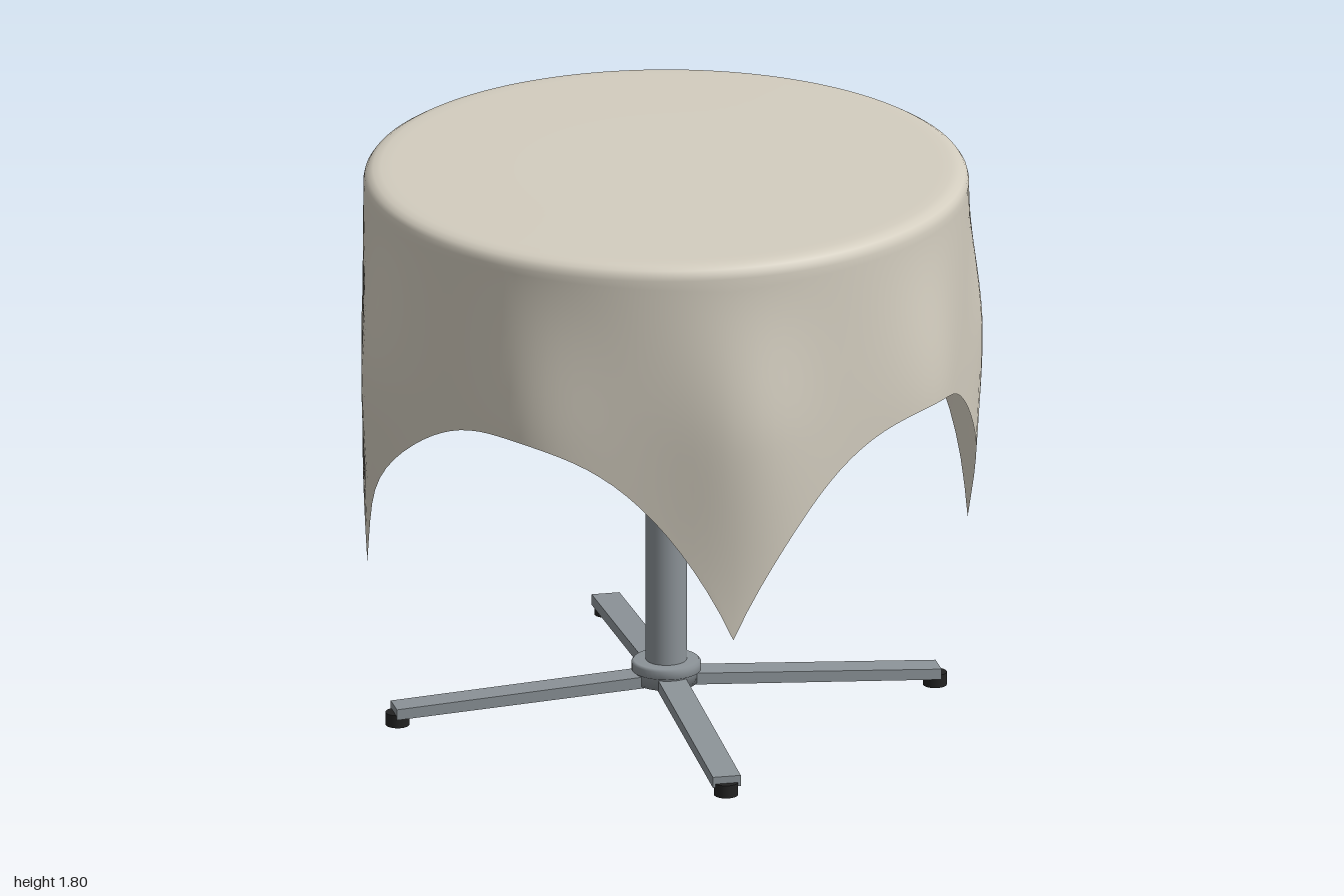
import * as THREE from 'three';

const clothMat = new THREE.MeshStandardMaterial({ color: 0xd3cdbf, side: THREE.DoubleSide });
const woodMat = new THREE.MeshStandardMaterial({ color: 0xcdc7b4 });
const metalMat = new THREE.MeshStandardMaterial({ color: 0x8c9398 });
const rubberMat = new THREE.MeshStandardMaterial({ color: 0x222222 });

const smooth = (v) => THREE.MathUtils.smoothstep(v, 0, 1);

// outward folds of the cloth: [angle in degrees, depth]
const FOLDS = [[0, 0.047], [42, 0.06], [84, 0.045], [125, 0.06], [169, 0.05],
  [209, 0.06], [249, 0.035], [276, 0.035], [317, 0.055]];

function foldDepth(angle) {
  const deg = THREE.MathUtils.radToDeg(angle);
  let sum = 0;
  for (const [at, depth] of FOLDS) {
    const d = ((deg - at + 540) % 360) - 180;
    sum += depth * Math.exp(-((d / 12) ** 2));
  }
  return sum;
}

// square cloth laid over a round top: the hem hangs lowest at the four corners
function hemHeight(angle) {
  const reach = 1.55 / Math.max(Math.abs(Math.cos(angle)), Math.abs(Math.sin(angle)));
  return 1.8 - (reach - 0.945);
}

function skirtRadius(angle, y) {
  const open = smooth((1.76 - y) / 0.56);
  const closeIn = 1 - 0.65 * smooth((1.2 - y) / 0.66);
  return 0.955 + foldDepth(angle) * open * closeIn;
}

function tableclothGeometry() {
  const segments = 144, skirtRows = 28;
  // flat top and rounded edge as [radius, height]
  const top = [[0.001, 1.8], [0.45, 1.8], [0.86, 1.8], [0.9, 1.799], [0.925, 1.795],
    [0.942, 1.785], [0.951, 1.772]];
  const rows = top.length + skirtRows + 1;
  const positions = [], indices = [];
  for (let j = 0; j < rows; j++) {
    for (let i = 0; i < segments; i++) {
      const a = (i / segments) * Math.PI * 2;
      let r, y;
      if (j < top.length) {
        [r, y] = top[j];
      } else {
        y = THREE.MathUtils.lerp(1.755, hemHeight(a), (j - top.length) / skirtRows);
        r = skirtRadius(a, y);
      }
      positions.push(r * Math.cos(a), y, r * Math.sin(a));
    }
  }
  for (let j = 0; j < rows - 1; j++) {
    for (let i = 0; i < segments; i++) {
      const n = (i + 1) % segments;
      const a = j * segments + i, b = j * segments + n;
      const c = a + segments, d = b + segments;
      indices.push(a, b, c, b, d, c);
    }
  }
  const geo = new THREE.BufferGeometry();
  geo.setAttribute('position', new THREE.Float32BufferAttribute(positions, 3));
  geo.setIndex(indices);
  geo.computeVertexNormals();
  return geo;
}

export function createModel() {
  const model = new THREE.Group();
  model.name = 'tableWithCloth';
  const table = new THREE.Group();
  table.name = 'table';
  table.position.x = -0.012;
  model.add(table);

  const add = (name, geo, mat, x = 0, y = 0, z = 0, parent = table) => {
    const mesh = new THREE.Mesh(geo, mat);
    mesh.name = name;
    mesh.position.set(x, y, z);
    parent.add(mesh);
    return mesh;
  };

  add('tablecloth', tableclothGeometry(), clothMat);

  // round top with a rim ring below it
  add('tableTop', new THREE.CylinderGeometry(0.925, 0.925, 0.055, 72), woodMat, 0, 1.755);
  const ring = new THREE.Shape().absarc(0, 0, 0.92, 0, Math.PI * 2);
  ring.holes.push(new THREE.Path().absarc(0, 0, 0.88, 0, Math.PI * 2, true));
  const ringGeo = new THREE.ExtrudeGeometry(ring, { depth: 0.04, bevelEnabled: false, curveSegments: 72 });
  ringGeo.rotateX(-Math.PI / 2);
  add('rimRing', ringGeo, woodMat, 0, 1.69);

  // crossed bars under the top
  add('supportBarAcross', new THREE.BoxGeometry(1.58, 0.045, 0.05), woodMat, 0, 1.708);
  add('supportBarAlong', new THREE.BoxGeometry(0.05, 0.045, 1.58), woodMat, 0, 1.708);

  // pedestal
  add('post', new THREE.CylinderGeometry(0.065, 0.065, 1.62, 40), metalMat, 0, 0.9);
  const hub = [[0, 0.08], [0.1, 0.08], [0.1, 0.115], [0.11, 0.12], [0.11, 0.145], [0.103, 0.153], [0, 0.153]];
  add('hub', new THREE.LatheGeometry(hub.map(([r, y]) => new THREE.Vector2(r, y)), 40), metalMat);

  // four sloping legs with rubber feet on the diagonals
  const side = new THREE.Shape([[0, 0.08], [0.88, 0.03], [0.88, 0.065], [0, 0.118]]
    .map(([x, y]) => new THREE.Vector2(x, y)));
  const legGeo = new THREE.ExtrudeGeometry(side, { depth: 0.09, bevelEnabled: false });
  legGeo.translate(0, 0, -0.045);
  const footGeo = new THREE.CylinderGeometry(0.038, 0.038, 0.042, 20);
  for (let i = 0; i < 4; i++) {
    const leg = new THREE.Group();
    leg.name = 'legAssembly' + (i + 1);
    leg.rotation.y = Math.PI / 4 + (i * Math.PI) / 2;
    add('leg', legGeo, metalMat, 0, 0, 0, leg);
    add('foot', footGeo, rubberMat, 0.868, 0.021, 0, leg);
    table.add(leg);
  }
  return model;
}
